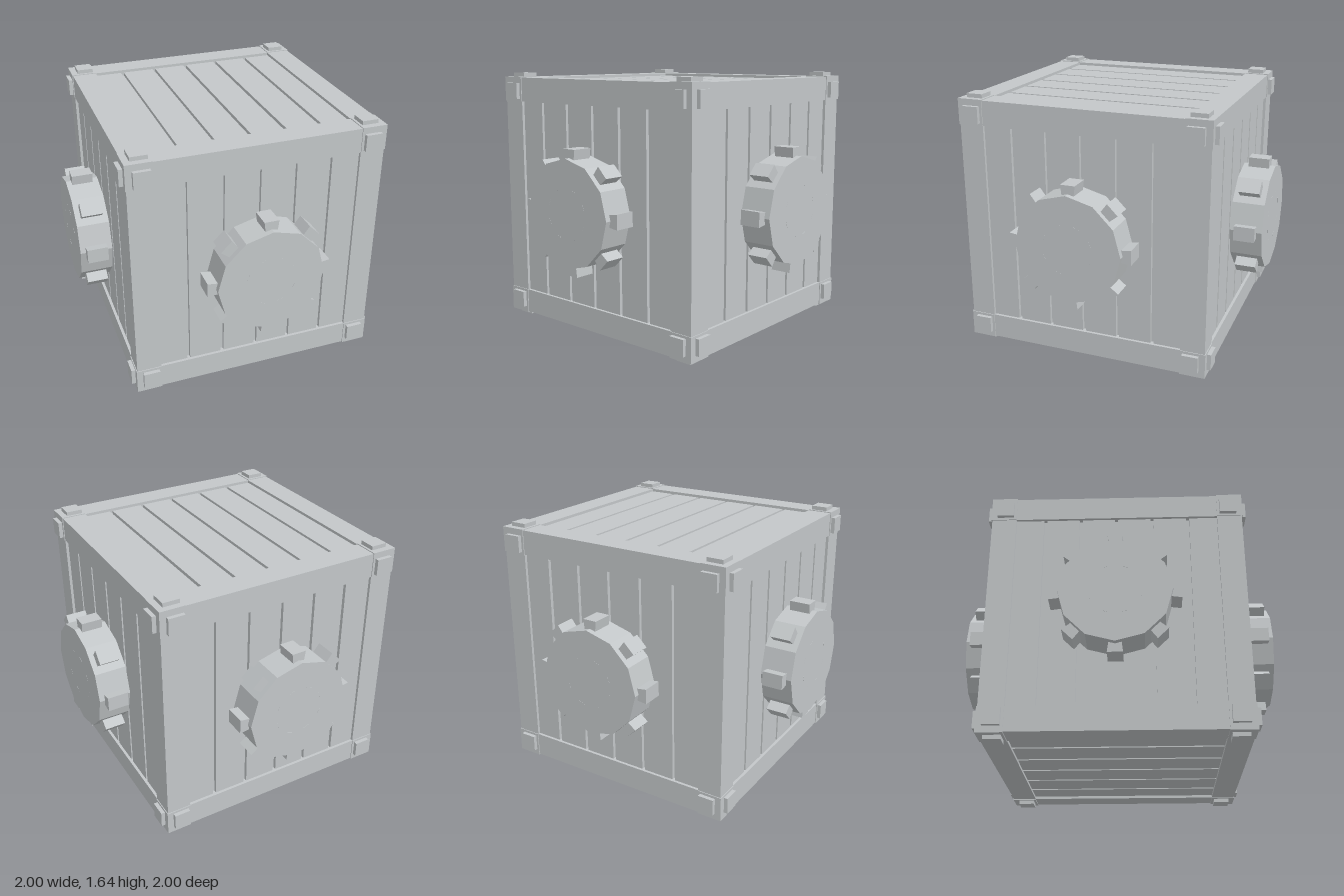
import * as THREE from 'three';

export function createModel() {
  const root = new THREE.Group();
  root.name = 'gearedCrate';
  const metal = new THREE.MeshStandardMaterial({ color: 0xc3c7c9 });
  metal.name = 'paleGreyMetal';
  const CY = 0.82, HALF = 0.79, BEAM = 0.155;

  const add = (parent, name, geo, x = 0, y = 0, z = 0) => {
    const m = new THREE.Mesh(geo, metal);
    m.name = name;
    m.position.set(x, y, z);
    parent.add(m);
    return m;
  };
  const box = (parent, name, w, h, d, x, y, z) =>
    add(parent, name, new THREE.BoxGeometry(w, h, d), x, y, z);

  const crate = new THREE.Group();
  crate.name = 'crate';
  crate.position.y = CY;
  root.add(crate);

  // Inner core, seen only at the bottom of the grooves
  box(crate, 'core', 1.5, 1.5, 1.5, 0, 0, 0);

  // Frame beams along each axis
  const c = HALF - BEAM / 2, len = 2 * (HALF - BEAM);
  for (const a of [-c, c]) for (const b of [-c, c]) {
    box(crate, 'beamAcross', len, BEAM, BEAM, 0, a, b);
    box(crate, 'post', BEAM, len, BEAM, a, 0, b);
    box(crate, 'beamDeep', BEAM, BEAM, len, a, b, 0);
  }

  // Corner blocks with a square stud on each outer face
  for (const x of [-1, 1]) for (const y of [-1, 1]) for (const z of [-1, 1]) {
    box(crate, 'cornerBlock', 0.16, 0.16, 0.16, x * 0.715, y * 0.715, z * 0.715);
    const s = 0.703, o = 0.8, w = 0.104, t = 0.04;
    box(crate, 'stud', t, w, w, x * o, y * s, z * s);
    box(crate, 'stud', w, t, w, x * s, y * o, z * s);
    box(crate, 'stud', w, w, t, x * s, y * s, z * o);
  }

  // A panel of six planks, facing +z, with narrow grooves between them
  const panel = () => {
    const g = new THREE.Group();
    g.name = 'plankPanel';
    const edges = [-0.64, -0.45, -0.225, 0, 0.225, 0.45, 0.64];
    for (let i = 0; i < 6; i++) {
      const a = edges[i] + (i ? 0.01 : 0), b = edges[i + 1] - (i < 5 ? 0.01 : 0);
      box(g, 'plank', b - a, 1.28, 0.04, (a + b) / 2, 0, 0.752);
    }
    return g;
  };

  // Tooth flares slightly outwards
  const toothShape = new THREE.Shape([
    new THREE.Vector2(-0.033, 0.29), new THREE.Vector2(0.033, 0.29),
    new THREE.Vector2(0.046, 0.388), new THREE.Vector2(-0.046, 0.388),
  ]);
  const toothGeo = new THREE.ExtrudeGeometry(toothShape, { depth: 0.13, bevelEnabled: false });

  // A twelve-sided toothed wheel on a short axle, facing +z
  const gear = () => {
    const g = new THREE.Group();
    g.name = 'gear';
    const disc = (r, n, d) => new THREE.CylinderGeometry(r, r, d, n).toNonIndexed().rotateX(Math.PI / 2);
    const wheelGeo = disc(0.336, 12, 0.2);
    wheelGeo.computeVertexNormals();
    add(g, 'wheel', wheelGeo, 0, 0, 0.899);
    add(g, 'axle', disc(0.163, 16, 0.1), 0, 0, 0.79);
    for (let i = 0; i < 8; i++) {
      add(g, 'tooth', toothGeo, 0, 0, 0.835).rotation.z = i * Math.PI / 4;
      // Short raised marks around the hub
      const a = (i + 0.5) * Math.PI / 4;
      const mark = box(g, 'hubMark', 0.04, 0.005, 0.002, Math.cos(a) * 0.157, Math.sin(a) * 0.157, 0.999);
      mark.rotation.z = a + Math.PI / 2;
    }
    return g;
  };

  // Panels and gears on the four sides
  for (let i = 0; i < 4; i++) {
    const side = new THREE.Group();
    side.name = 'side';
    side.add(panel(), gear());
    side.rotation.y = i * Math.PI / 2;
    crate.add(side);
  }

  // Top and bottom panels
  for (const s of [-1, 1]) {
    const p = panel();
    p.rotation.x = s * Math.PI / 2;
    crate.add(p);
  }
  return root;
}
